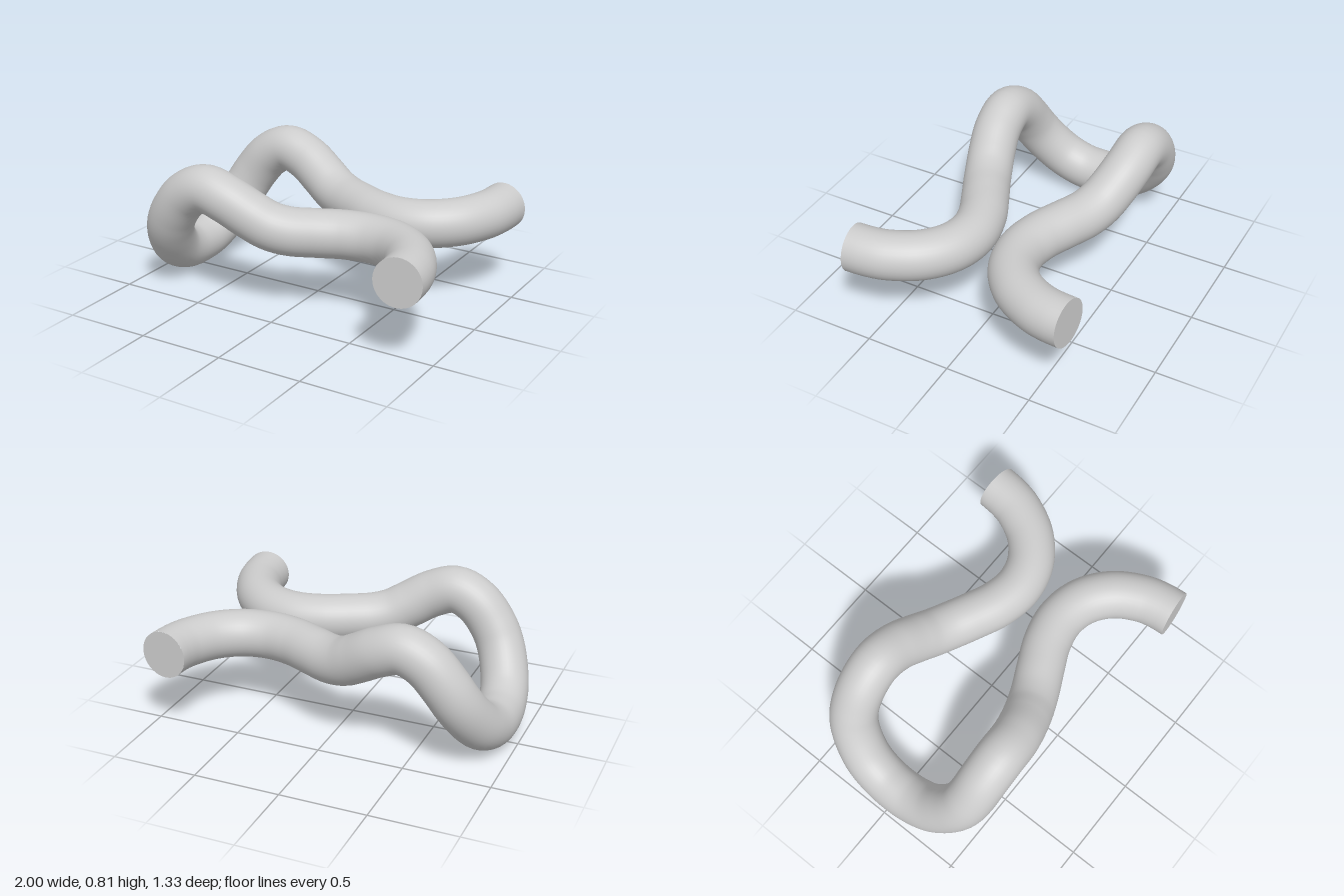
import * as THREE from 'three';

const RADIUS = 0.137;
const SIDES = 36;

// Centre line of one half, from the middle of the low bend to the open end
const HALF = [
  [-0.863, 0.139, 0], [-0.858, 0.151, 0.11], [-0.84, 0.208, 0.23],
  [-0.80, 0.31, 0.33], [-0.755, 0.41, 0.39], [-0.70, 0.505, 0.417],
  [-0.60, 0.62, 0.43], [-0.47, 0.679, 0.433], [-0.33, 0.638, 0.423],
  [-0.20, 0.563, 0.39], [-0.10, 0.508, 0.355], [0, 0.482, 0.313],
  [0.13, 0.477, 0.25], [0.28, 0.476, 0.184], [0.44, 0.476, 0.156],
  [0.60, 0.479, 0.193], [0.737, 0.484, 0.30], [0.825, 0.489, 0.455],
  [0.85, 0.492, 0.555], [0.859, 0.494, 0.652],
];

export function createModel() {
  const group = new THREE.Group();
  group.name = 'bentRod';
  const material = new THREE.MeshStandardMaterial({ color: 0xcccccc });

  // Mirror the half across z = 0 into one continuous path
  const mirrored = HALF.slice(1).reverse().map(([x, y, z]) => [x, y, -z]);
  const points = [...mirrored, ...HALF].map((p) => new THREE.Vector3(...p));
  const path = new THREE.CatmullRomCurve3(points, false, 'centripetal');

  const rod = new THREE.Mesh(new THREE.TubeGeometry(path, 180, RADIUS, SIDES), material);
  rod.name = 'rod';
  group.add(rod);

  // Flat discs closing both cut ends
  for (const [t, sign, name] of [[0, -1, 'backEndCap'], [1, 1, 'frontEndCap']]) {
    const cap = new THREE.Mesh(new THREE.CircleGeometry(RADIUS, SIDES), material);
    const outward = path.getTangentAt(t).multiplyScalar(sign);
    cap.quaternion.setFromUnitVectors(new THREE.Vector3(0, 0, 1), outward);
    cap.position.copy(path.getPointAt(t));
    cap.name = name;
    group.add(cap);
  }
  return group;
}
